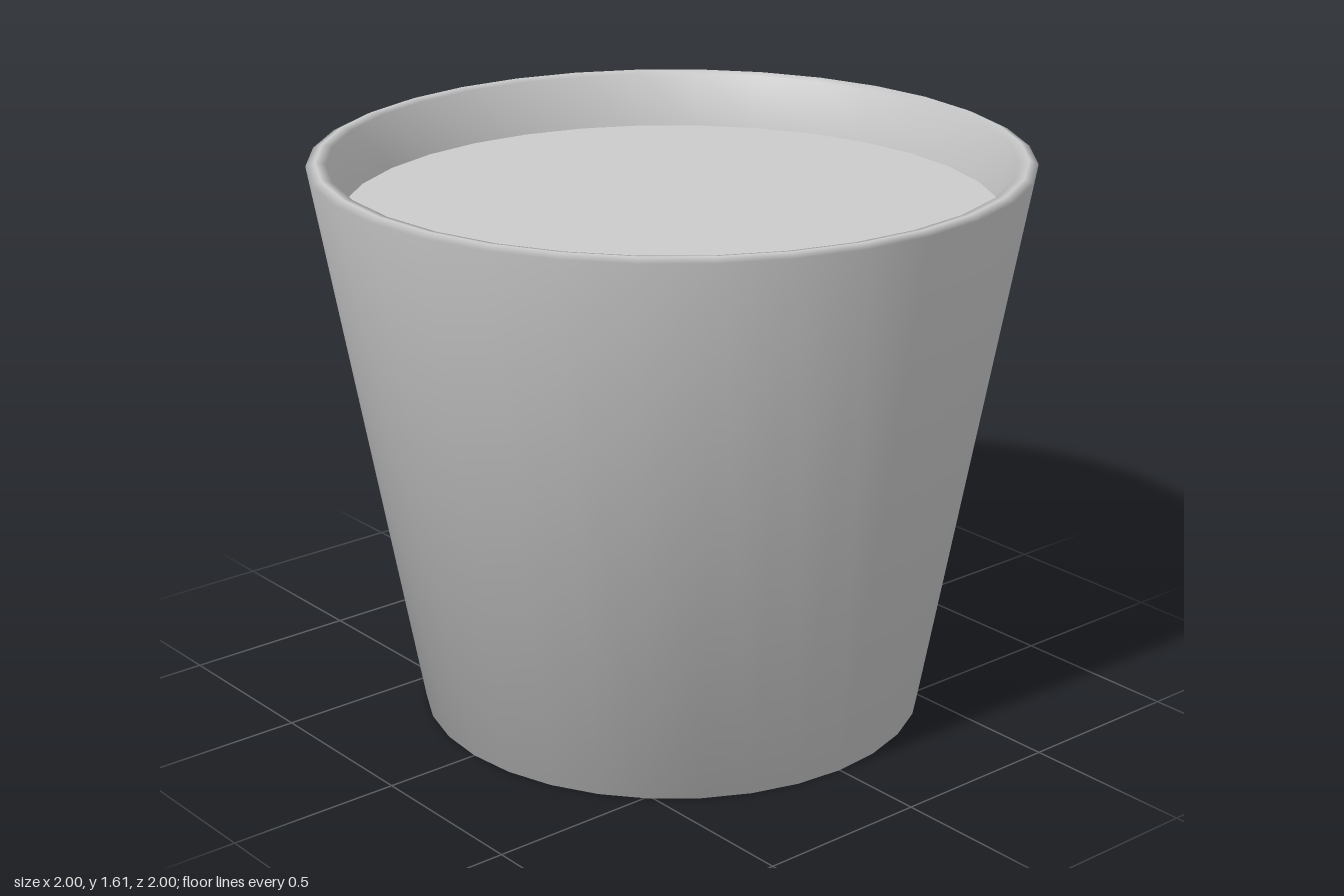
import * as THREE from 'three';

const SIDES = 32;

export function createModel() {
  const model = new THREE.Group();
  const material = new THREE.MeshStandardMaterial({ color: 0xcccccc });

  // Tapered pot: underside, outer wall, softly rounded lip, inner wall and floor
  const profile = [
    [0, 0], [0.72, 0], [1, 1.6], [0.975, 1.611], [0.945, 1.604], [0.917, 1.45], [0.68, 0.06], [0, 0.06],
  ].map(([r, y]) => new THREE.Vector2(r, y));
  const pot = new THREE.Mesh(new THREE.LatheGeometry(profile, SIDES), material);
  pot.name = 'pot';
  model.add(pot);

  // Flat fill just below the lip
  const soil = new THREE.Mesh(new THREE.CircleGeometry(0.917, SIDES).rotateX(-Math.PI / 2), material);
  soil.name = 'soil';
  soil.position.y = 1.45;
  model.add(soil);

  return model;
}
